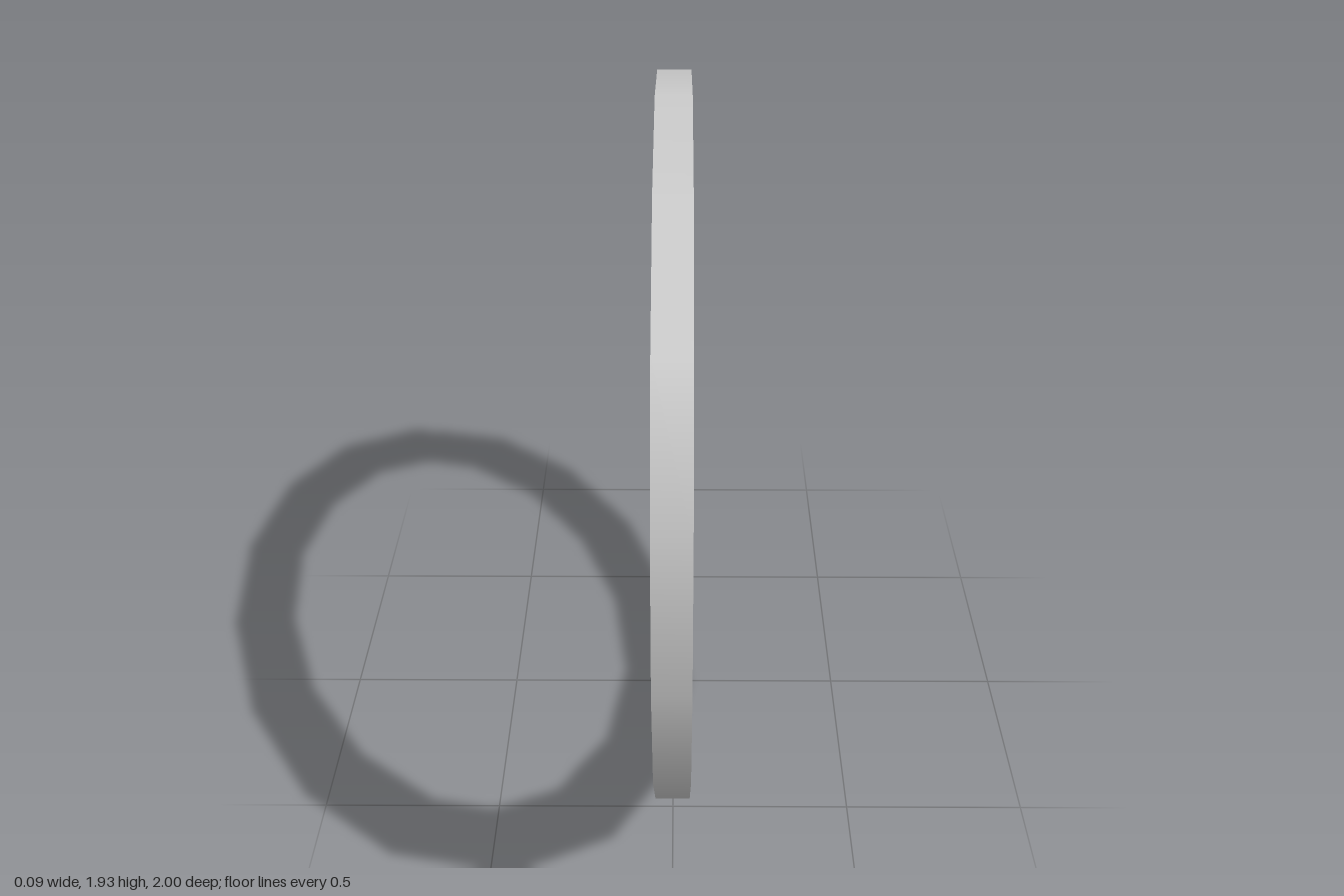
import * as THREE from 'three';

const SIDES = 16;
const WIDTH = 0.09;
const CENTRE_Y = 0.967;
// half-height (y) and half-depth (z) of the two slightly oval rims
const OUTER = { y: 0.967, z: 1 };
const INNER = { y: 0.825, z: 0.81 };

const rimPoints = (rim) => Array.from({ length: SIDES }, (_, i) => {
  const a = (i / SIDES) * Math.PI * 2;
  return new THREE.Vector2(Math.cos(a) * rim.z, Math.sin(a) * rim.y);
});

// Open tube around the x axis; a negative flip turns its faces inward
function wall(rim, flip) {
  return new THREE.CylinderGeometry(1, 1, WIDTH, SIDES, 1, true)
    .rotateZ(Math.PI / 2)
    .scale(flip, rim.y, rim.z);
}

export function createModel() {
  const group = new THREE.Group();
  group.name = 'ring';
  const smooth = new THREE.MeshStandardMaterial({ color: 0xcccccc });
  const flat = new THREE.MeshStandardMaterial({ color: 0xcccccc, flatShading: true });

  const add = (name, geometry, material) => {
    const mesh = new THREE.Mesh(geometry, material);
    mesh.name = name;
    mesh.position.y = CENTRE_Y;
    group.add(mesh);
  };

  // Smooth outer rim
  add('outerRim', wall(OUTER, 1), smooth);

  // Faceted inner rim
  const inner = wall(INNER, -1).toNonIndexed();
  inner.computeVertexNormals();
  add('innerRim', inner, flat);

  // Flat side faces
  const face = new THREE.Shape(rimPoints(OUTER));
  face.holes.push(new THREE.Path(rimPoints(INNER)));
  for (const [name, side] of [['leftFace', 1], ['rightFace', -1]]) {
    const cap = new THREE.ShapeGeometry(face)
      .rotateY((side * Math.PI) / 2)
      .translate((side * WIDTH) / 2, 0, 0);
    add(name, cap, flat);
  }
  return group;
}
